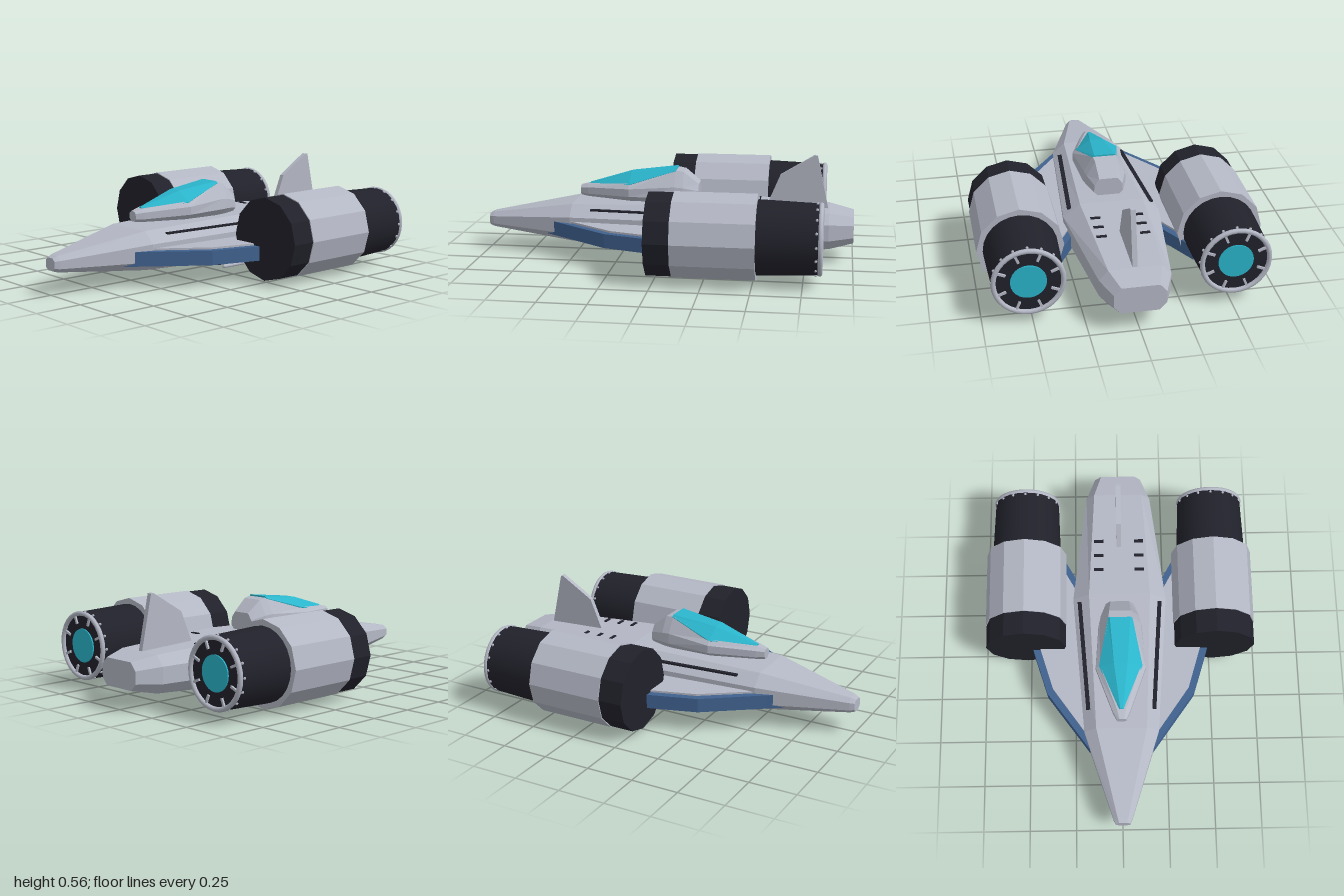
import * as THREE from 'three';
import { RoundedBoxGeometry } from 'three/addons/geometries/RoundedBoxGeometry.js';

const paint = (name, color) => {
  const m = new THREE.MeshStandardMaterial({ color });
  m.name = name;
  return m;
};
const grey = paint('hull grey', 0xb4b8c5);
const dark = paint('engine black', 0x21212b);
const blue = paint('wing blue', 0x40628f);
const cyan = paint('glowing cyan', 0x2ab4cb);

function add(parent, name, geometry, material, x = 0, y = 0, z = 0) {
  const mesh = new THREE.Mesh(geometry, material);
  mesh.name = name;
  mesh.position.set(x, y, z);
  parent.add(mesh);
  return mesh;
}

function flat(geometry) {
  const g = geometry.index ? geometry.toNonIndexed() : geometry;
  g.computeVertexNormals();
  return g;
}

// Faceted loft, front to back. Each section is [z, half profile from bottom to top].
function loft(sections) {
  const pos = [], idx = [];
  const n = sections[0][1].length * 2;
  for (const [z, half] of sections) {
    const mirrored = half.map(([x, y]) => [-x, y]).reverse();
    for (const [x, y] of [...half, ...mirrored]) pos.push(x, y, z);
  }
  const last = (sections.length - 1) * n;
  for (let i = 0; i < last; i += n) {
    for (let j = 0; j < n; j++) {
      const k = (j + 1) % n;
      idx.push(i + j, i + n + j, i + n + k, i + j, i + n + k, i + k);
    }
  }
  for (let j = 1; j < n - 1; j++) idx.push(0, j, j + 1, last, last + j + 1, last + j);
  const g = new THREE.BufferGeometry();
  g.setAttribute('position', new THREE.Float32BufferAttribute(pos, 3));
  g.setIndex(idx);
  return flat(g);
}

// Half octagon: bottom edge, lower side, upper side, top edge
const octagon = (z, side, edge, y0, y1, y2, y3) =>
  [z, [[edge, y0], [side, y1], [side, y2], [edge, y3]]];

// Horizontal slab from an [x, z] outline
function slab(points, thickness, s) {
  const shape = new THREE.Shape(points.map(([x, z]) => new THREE.Vector2(x * s, -z)));
  return new THREE.ExtrudeGeometry(shape, { depth: thickness, bevelEnabled: false }).rotateX(-Math.PI / 2);
}

// Cylinder lying along z, with the first radius at the front
const barrel = (front, back, length, sides) =>
  new THREE.CylinderGeometry(front, back, length, sides).rotateX(Math.PI / 2);

function buildEngine(s) {
  const engine = new THREE.Group();
  engine.name = s > 0 ? 'leftEngine' : 'rightEngine';
  engine.position.set(0.517 * s, 0.233, 0);
  add(engine, 'intake', flat(barrel(0.218, 0.218, 0.14, 12)), dark, 0, 0, -0.04);
  add(engine, 'casing', flat(barrel(0.223, 0.223, 0.42, 12)), grey, 0, 0, -0.31);
  add(engine, 'nozzle', barrel(0.191, 0.179, 0.32, 24), dark, 0, 0, -0.67);
  add(engine, 'nozzleRing', new THREE.TorusGeometry(0.172, 0.013, 8, 32), grey, 0, 0, -0.834);
  add(engine, 'exhaustGlow', barrel(0.09, 0.09, 0.008, 24), cyan, 0, 0, -0.833);
  // Short spokes and outer bolts around the exhaust
  for (let i = 0; i < 8; i++) {
    const a = (i + 0.5) * Math.PI / 4;
    const spoke = add(engine, 'exhaustSpoke', new THREE.BoxGeometry(0.045, 0.012, 0.012), grey,
      Math.cos(a) * 0.142, Math.sin(a) * 0.142, -0.834);
    spoke.rotation.z = a;
  }
  for (let i = 0; i < 16; i++) {
    const a = (i / 16) * Math.PI * 2;
    add(engine, 'ringBolt', new THREE.SphereGeometry(0.008, 6, 4), grey,
      Math.cos(a) * 0.179, Math.sin(a) * 0.179, -0.815);
  }
  return engine;
}

export function createModel() {
  const ship = new THREE.Group();
  ship.name = 'spaceship';

  add(ship, 'hull', loft([
    octagon(1.0, 0.038, 0.02, 0.125, 0.14, 0.175, 0.19),
    octagon(0.975, 0.05, 0.028, 0.117, 0.137, 0.178, 0.2),
    octagon(0.51, 0.2, 0.135, 0.078, 0.13, 0.222, 0.282),
    octagon(-0.25, 0.257, 0.168, 0.05, 0.132, 0.23, 0.302),
    octagon(-0.87, 0.18, 0.135, 0.082, 0.135, 0.222, 0.275),
    octagon(-1.0, 0.13, 0.095, 0.108, 0.145, 0.21, 0.25),
  ]), grey);

  // Cockpit pod and its glass
  add(ship, 'cockpitPod', loft([
    [0.483, [[0.012, 0.31], [0.026, 0.325], [0.026, 0.352], [0.012, 0.364]]],
    [0.44, [[0.025, 0.305], [0.046, 0.322], [0.046, 0.357], [0.022, 0.373]]],
    [0.2, [[0.09, 0.3], [0.134, 0.33], [0.134, 0.372], [0.108, 0.398]]],
    [-0.045, [[0.085, 0.295], [0.118, 0.33], [0.112, 0.385], [0.063, 0.468]]],
    [-0.09, [[0.08, 0.295], [0.108, 0.33], [0.104, 0.38], [0.058, 0.46]]],
    [-0.17, [[0.055, 0.295], [0.078, 0.32], [0.075, 0.36], [0.05, 0.395]]],
  ]), grey);
  add(ship, 'canopyGlass', loft([
    [0.432, [[0.012, 0.36], [0.014, 0.372], [0.006, 0.38]]],
    [0.2, [[0.1, 0.37], [0.116, 0.393], [0.036, 0.447]]],
    [-0.048, [[0.06, 0.44], [0.066, 0.466], [0.055, 0.476]]],
  ]), cyan);

  // Tail fin
  const finShape = new THREE.Shape([[-0.53, 0.27], [-0.605, 0.45], [-0.785, 0.56], [-0.8, 0.558], [-0.868, 0.25]]
    .map(([z, y]) => new THREE.Vector2(z, y)));
  const fin = new THREE.ExtrudeGeometry(finShape, { depth: 0.026, bevelEnabled: false });
  add(ship, 'tailFin', fin.translate(0, 0, -0.013).rotateY(-Math.PI / 2), grey);

  // Landing pad under the belly
  add(ship, 'bellyPad', new RoundedBoxGeometry(0.2, 0.05, 0.24, 2, 0.016), dark, 0, 0.04, -0.15);

  const wing = [[0.1, 0.7], [0.19, 0.575], [0.4, 0.285], [0.495, -0.02], [0.495, -0.6], [0.36, -0.6], [0.1, -0.14]];
  const skin = [[0.1, 0.64], [0.18, 0.53], [0.37, 0.26], [0.455, -0.02], [0.455, -0.56], [0.36, -0.53], [0.1, -0.06]];
  for (const s of [1, -1]) {
    const side = s > 0 ? 'left' : 'right';
    add(ship, side + 'Wing', slab(wing, 0.075, s), blue, 0, 0.115, 0);
    add(ship, side + 'WingSkin', slab(skin, 0.01, s), grey, 0, 0.19, 0);
    ship.add(buildEngine(s));

    // Long shoulder slot, cooling vents and landing skid
    const slot = add(ship, side + 'ShoulderSlot', new THREE.BoxGeometry(0.022, 0.009, 0.62), dark,
      0.199 * s, 0.262, 0.09);
    slot.rotation.y = -0.071 * s;
    for (const z of [-0.4, -0.487, -0.575]) {
      const top = 0.302 + (z + 0.25) * 0.0435;
      add(ship, side + 'Vent', new THREE.BoxGeometry(0.052, 0.009, 0.017), dark, 0.112 * s, top, z);
    }
    add(ship, side + 'Skid', new THREE.CapsuleGeometry(0.01, 0.17, 4, 8).rotateX(Math.PI / 2), grey,
      0.11 * s, 0.01, -0.145);
  }
  return ship;
}
